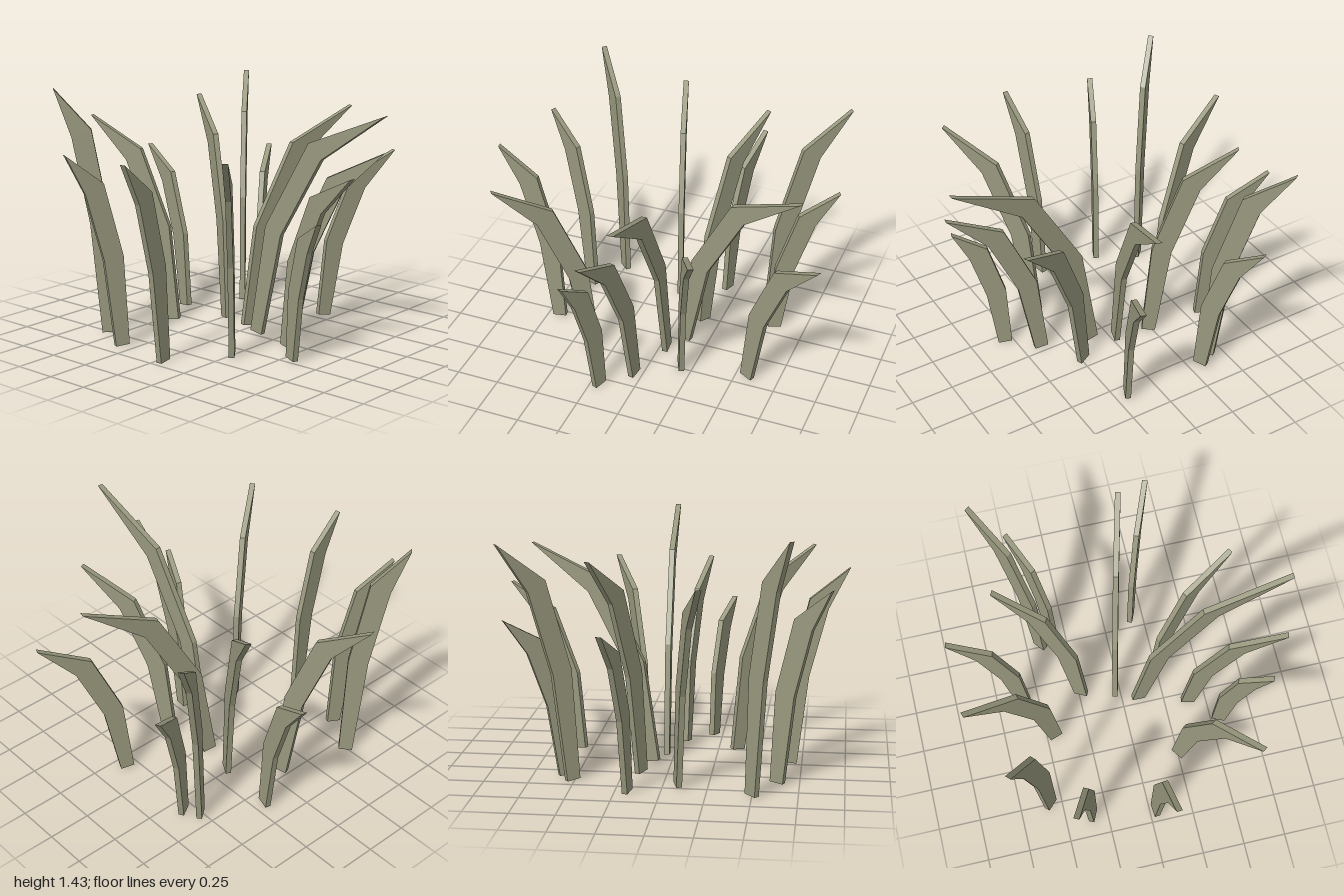
import * as THREE from 'three';

const THICKNESS = 0.032;

// Each blade: foot x, z (inner end), tip x, z (outer end), tip height
const BLADES = [
  [-0.31, -0.53, -0.50, -0.87, 0.92],
  [-0.39, -0.48, -0.68, -0.86, 1.37],
  [-0.20, -0.13, -0.65, -0.38, 1.28],
  [-0.55, -0.17, -0.96, -0.27, 0.95],
  [-0.41, 0.07, -0.94, 0.24, 1.20],
  [-0.54, 0.47, -0.77, 0.70, 1.43],
  [-0.32, 0.59, -0.47, 0.91, 1.12],
  [0.03, 0.64, 0.065, 1.00, 1.15],
  [0.23, 0.33, 0.58, 0.79, 1.19],
  [0.51, 0.185, 0.80, 0.30, 0.82],
  [0.35, 0.04, 0.90, 0.145, 1.05],
  [0.06, -0.04, 0.955, -0.07, 1.36],
  [0.20, -0.165, 0.71, -0.41, 1.08],
  [0.16, -0.53, 0.36, -1.00, 0.97],
  [-0.04, -0.07, 0.16, -0.83, 1.24],
];

// Spine as fractions of reach and height, with the blade's width there
const SPINE = [
  [0, 0, 0.08],
  [0.14, 0.46, 0.115],
  [0.47, 0.82, 0.12],
  [1, 1, 0],
];

// Bent, pointed outline leaning towards +x, extruded to a flat plate
function bladeGeometry(reach, height) {
  const lean = reach - 0.04;
  const spine = SPINE.map(([s, h]) => new THREE.Vector2(0.04 + s * lean, 0.005 + h * (height - 0.005)));
  const inner = [], outer = [];
  for (let i = 0; i < 3; i++) {
    // the cut across the blade follows the mean direction of its neighbours
    const dir = spine[i + 1].clone().sub(spine[i]).normalize();
    if (i > 0) dir.add(spine[i].clone().sub(spine[i - 1]).normalize()).normalize();
    const side = new THREE.Vector2(dir.y, -dir.x).multiplyScalar(SPINE[i][2] / 2);
    outer.push(spine[i].clone().add(side));
    inner.unshift(spine[i].clone().sub(side));
  }
  const shape = new THREE.Shape([...outer, spine[3], ...inner]);
  const geometry = new THREE.ExtrudeGeometry(shape, { depth: THICKNESS, bevelEnabled: false });
  geometry.translate(0, 0, -THICKNESS / 2);
  geometry.computeBoundingBox();
  return geometry.translate(0, -geometry.boundingBox.min.y, 0);
}

export function createModel() {
  const group = new THREE.Group();
  group.name = 'grassTuft';
  const material = new THREE.MeshStandardMaterial({ color: 0x99997f, flatShading: true });

  BLADES.forEach(([x, z, tipX, tipZ, height], i) => {
    const dx = tipX - x, dz = tipZ - z;
    const blade = new THREE.Mesh(bladeGeometry(Math.hypot(dx, dz), height), material);
    blade.name = `grassBlade${i + 1}`;
    blade.position.set(x, 0, z);
    blade.rotation.y = Math.atan2(-dz, dx);
    group.add(blade);
  });
  return group;
}
